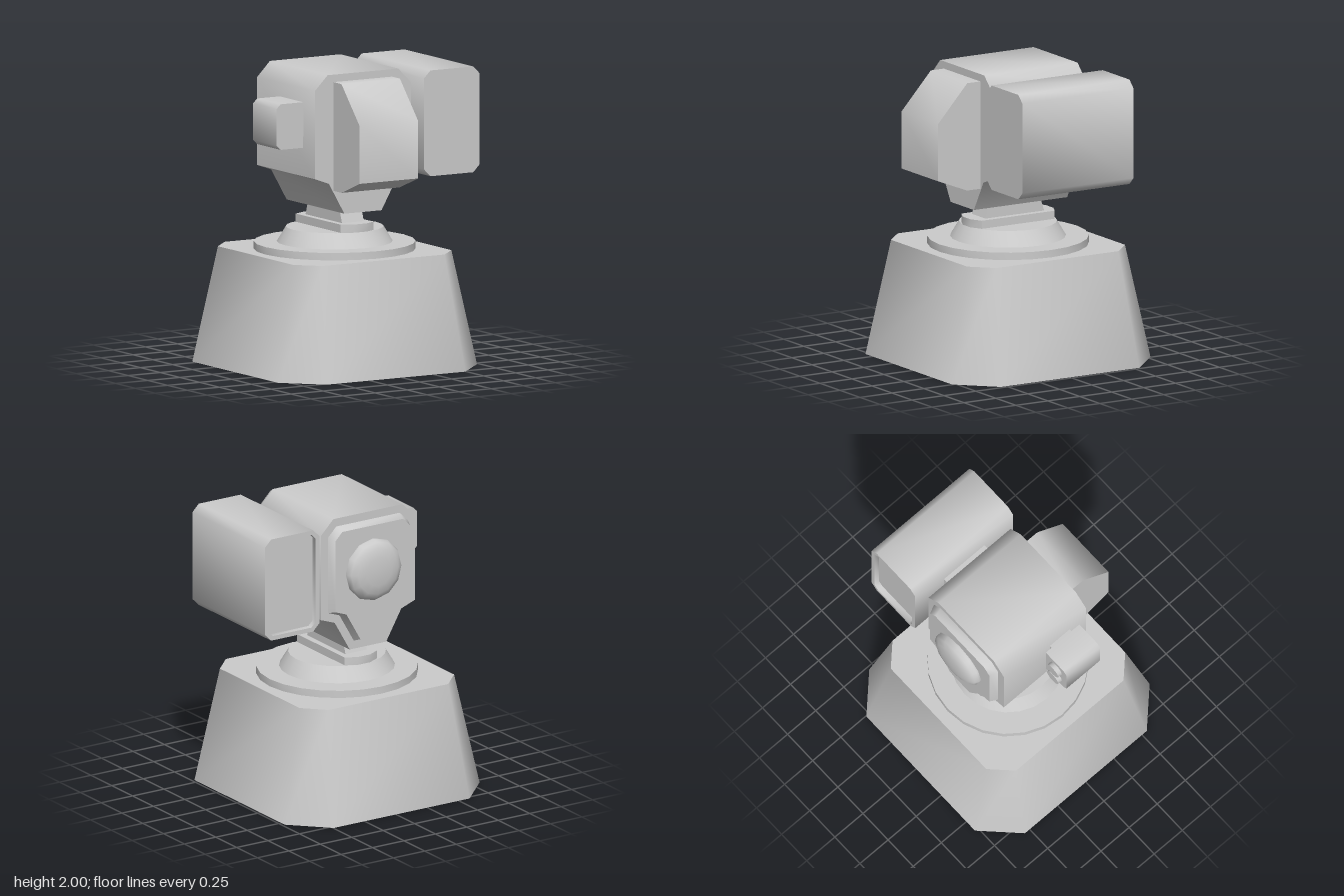
import * as THREE from 'three';
import { toCreasedNormals } from 'three/addons/utils/BufferGeometryUtils.js';

const CX = -0.045; // turret axis
const CREASE = 0.9;

// Rectangle with cut corners, counter-clockwise, centred on the origin
function cutRect(hw, hh, cx, cy = cx) {
  const a = hw - cx, b = hh - cy;
  return [[a, -hh], [hw, -b], [hw, b], [a, hh], [-a, hh], [-hw, b], [-hw, -b], [-a, -hh]];
}

const rect = (hw, hh) => [[hw, -hh], [hw, hh], [-hw, hh], [-hw, -hh]];

// Mitred inward offset of a counter-clockwise outline
function inset(pts, d) {
  const n = pts.length;
  const normal = (p, q) => {
    const dx = q[0] - p[0], dy = q[1] - p[1], l = Math.hypot(dx, dy);
    return [-dy / l, dx / l];
  };
  return pts.map((p, i) => {
    const a = normal(pts[(i + n - 1) % n], p), b = normal(p, pts[(i + 1) % n]);
    const k = d / (1 + a[0] * b[0] + a[1] * b[1]);
    return [p[0] + (a[0] + b[0]) * k, p[1] + (a[1] + b[1]) * k];
  });
}

// Skin through counter-clockwise outlines [points, z], optionally capped at both ends
function loft(sections, capped = true) {
  const n = sections[0][0].length, pos = [], idx = [];
  for (const [pts, z] of sections) for (const [x, y] of pts) pos.push(x, y, z);
  for (let s = 0; s < sections.length - 1; s++) {
    for (let i = 0; i < n; i++) {
      const a = s * n + i, b = s * n + (i + 1) % n;
      idx.push(a, b, b + n, a, b + n, a + n);
    }
  }
  if (capped) {
    const cap = (pts, base, flip) => {
      const contour = pts.map(([x, y]) => new THREE.Vector2(x, y));
      for (const [a, b, c] of THREE.ShapeUtils.triangulateShape(contour, [])) {
        idx.push(base + a, base + (flip ? c : b), base + (flip ? b : c));
      }
    };
    cap(sections[0][0], 0, true);
    cap(sections.at(-1)[0], (sections.length - 1) * n, false);
  }
  const g = new THREE.BufferGeometry();
  g.setAttribute('position', new THREE.Float32BufferAttribute(pos, 3));
  g.setIndex(idx);
  return g;
}

export function createModel() {
  const group = new THREE.Group();
  const solid = new THREE.MeshStandardMaterial({ color: 0xcccccc });
  const open = new THREE.MeshStandardMaterial({ color: 0xcccccc, side: THREE.DoubleSide });

  function add(name, geometry, x = 0, y = 0, z = 0, material = solid) {
    const mesh = new THREE.Mesh(toCreasedNormals(geometry, CREASE), material);
    mesh.name = name;
    mesh.position.set(x, y, z);
    group.add(mesh);
  }
  const upright = (sections, capped) => loft(sections, capped).rotateX(-Math.PI / 2);
  const lathe = (profile, sides) =>
    new THREE.LatheGeometry(profile.map(([r, y]) => new THREE.Vector2(r, y)), sides);

  // Hollow tapered pedestal, open underneath
  const topOutline = cutRect(0.615, 0.618, 0.14);
  add('pedestalWalls', upright([[cutRect(0.775, 0.777, 0.235), 0], [topOutline, 0.77]], false), CX, 0, 0, open);
  const deck = new THREE.Shape(topOutline.map(([x, y]) => new THREE.Vector2(x, y)));
  deck.holes.push(new THREE.Path().absarc(0, 0, 0.53, 0, Math.PI * 2, true));
  add('pedestalDeck', new THREE.ShapeGeometry(deck, 12).rotateX(-Math.PI / 2), CX, 0.77, 0, open);

  // Round turntable with a conical step
  const turntable = [[0.537, 0.77], [0.537, 0.82], [0.385, 0.82], [0.325, 0.92], [0, 0.92]];
  add('turntable', lathe(turntable, 24), CX, 0, 0, open);

  // Mounting plate and neck
  const plate = cutRect(0.128, 0.325, 0.08, 0.04);
  add('mountingPlate', upright([[plate, 0.92], [plate, 0.975]]), CX);
  add('neck', upright([[rect(0.085, 0.23), 0.975], [rect(0.085, 0.2), 1.065]]), CX);

  // Main housing: cut top corners, tapering to a narrow foot
  const half = [[0.145, 1.06], [0.265, 1.27], [0.375, 1.31], [0.375, 1.9], [0.275, 2]];
  const body = [...half, ...half.map(([x, y]) => [-x, y]).reverse()];
  add('housing', loft([[body, -0.372], [body, 0.358]]), CX);
  add('rearCover', loft([[inset(body, 0.08), -0.43], [inset(body, 0.055), -0.37]]), CX);

  // Flattened rear lens
  const lens = [[0.215, 0], [0.215, 0.015], [0.2, 0.042], [0.16, 0.064], [0.1, 0.076], [0, 0.08]];
  add('rearLens', lathe(lens, 12).rotateX(-Math.PI / 2), CX, 1.615, -0.43);

  // Faceted front hood, outlined in side view and swept across x
  const hood = [[-0.35, 1.22], [-0.35, 1.95], [-0.46, 1.95], [-0.688, 1.7], [-0.688, 1.31], [-0.46, 1.22]];
  add('frontHood', loft([[hood, -0.275], [hood, 0.18]]).rotateY(Math.PI / 2));

  // Large left pod with a recessed rear face
  const pod = cutRect(0.217, 0.355, 0.05);
  const podRim = inset(pod, 0.03);
  add('leftPod', loft([[podRim, -0.4], [podRim, -0.44], [pod, -0.44], [pod, 0.43]]), 0.603, 1.625);
  add('leftPodBracket', new THREE.BoxGeometry(0.08, 0.37, 0.36), 0.36, 1.618, -0.005);

  // Small right sensor, cut on its outer corners, with two rear buttons
  const sensor = [[0.103, -0.153], [0.103, 0.153], ...cutRect(0.103, 0.153, 0.03).slice(4)];
  add('rightSensor', loft([[sensor, -0.03], [sensor, 0.268]]), -0.558, 1.665);
  add('rightSensorBracket', new THREE.BoxGeometry(0.05, 0.175, 0.175), -0.437, 1.665, 0.125);
  for (const y of [1.603, 1.727]) {
    add('sensorButton', new THREE.CylinderGeometry(0.057, 0.057, 0.04, 12).rotateX(Math.PI / 2), -0.558, y, -0.042);
  }
  return group;
}
